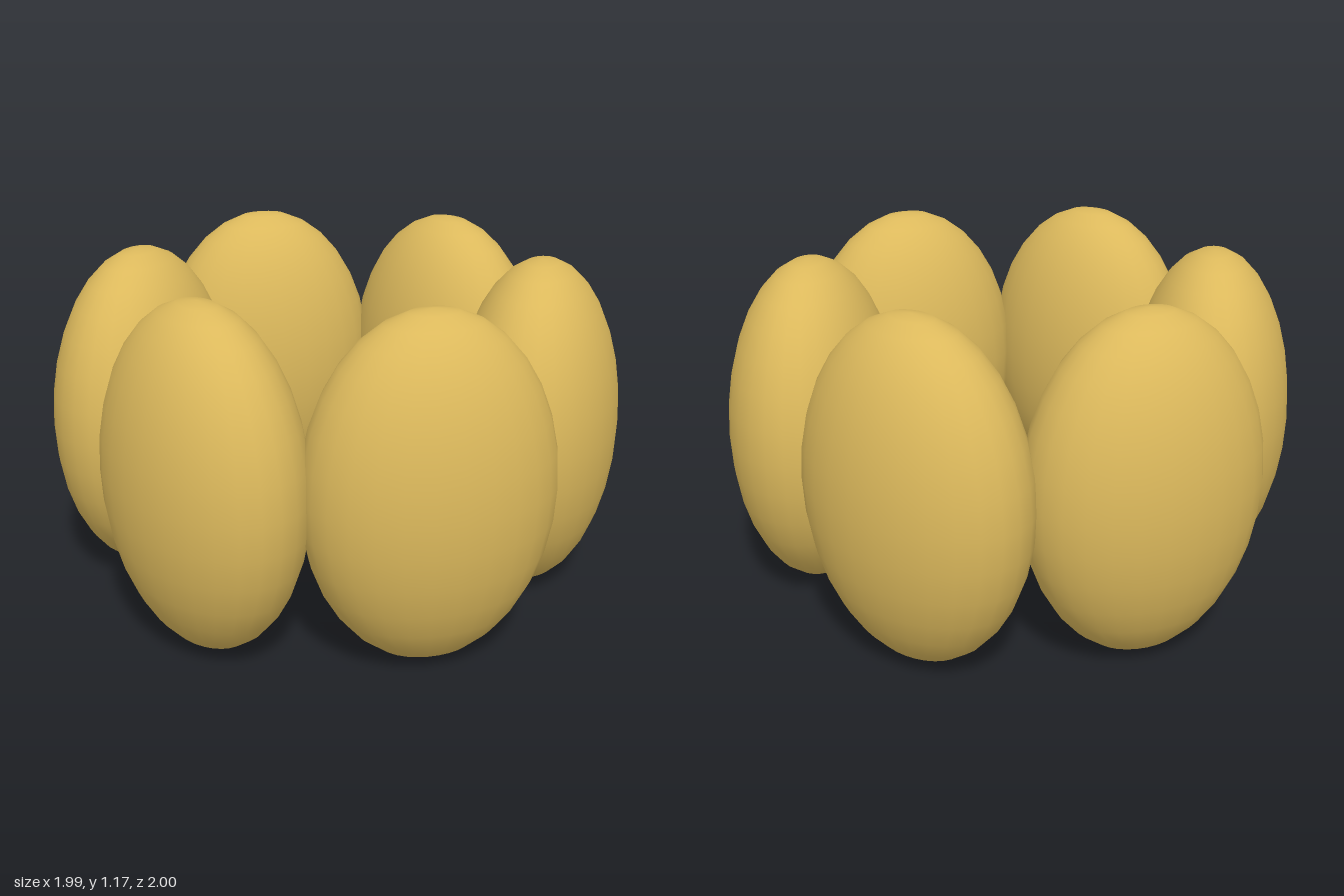
import * as THREE from 'three';

export function createModel() {
  const group = new THREE.Group();
  group.name = 'ringOfEllipsoids';
  const gold = new THREE.MeshStandardMaterial({ color: 0xdcb95c });
  gold.name = 'gold';
  const sphere = new THREE.SphereGeometry(1, 28, 16);

  // Half of the ring: centre, long and short horizontal radii, heading in the ground plane
  const lobes = [
    { name: 'sideLobe', x: 0.70, z: 0, long: 0.44, short: 0.287, turn: -79 },
    { name: 'frontLeftLobe', x: 0.362, z: 0.63, long: 0.42, short: 0.293, turn: -24.5 },
    { name: 'frontRightLobe', x: -0.357, z: 0.63, long: 0.435, short: 0.285, turn: 46 },
  ];

  // Each lobe repeats half a turn around the ring
  for (const lobe of lobes) {
    for (const side of [1, -1]) {
      const mesh = new THREE.Mesh(sphere, gold);
      mesh.name = side > 0 ? lobe.name : lobe.name + 'Opposite';
      mesh.position.set(side * lobe.x, 0.583, side * lobe.z);
      mesh.scale.set(lobe.long, 0.583, lobe.short);
      mesh.rotation.y = -THREE.MathUtils.degToRad(lobe.turn) + (side > 0 ? 0 : Math.PI);
      group.add(mesh);
    }
  }
  return group;
}
